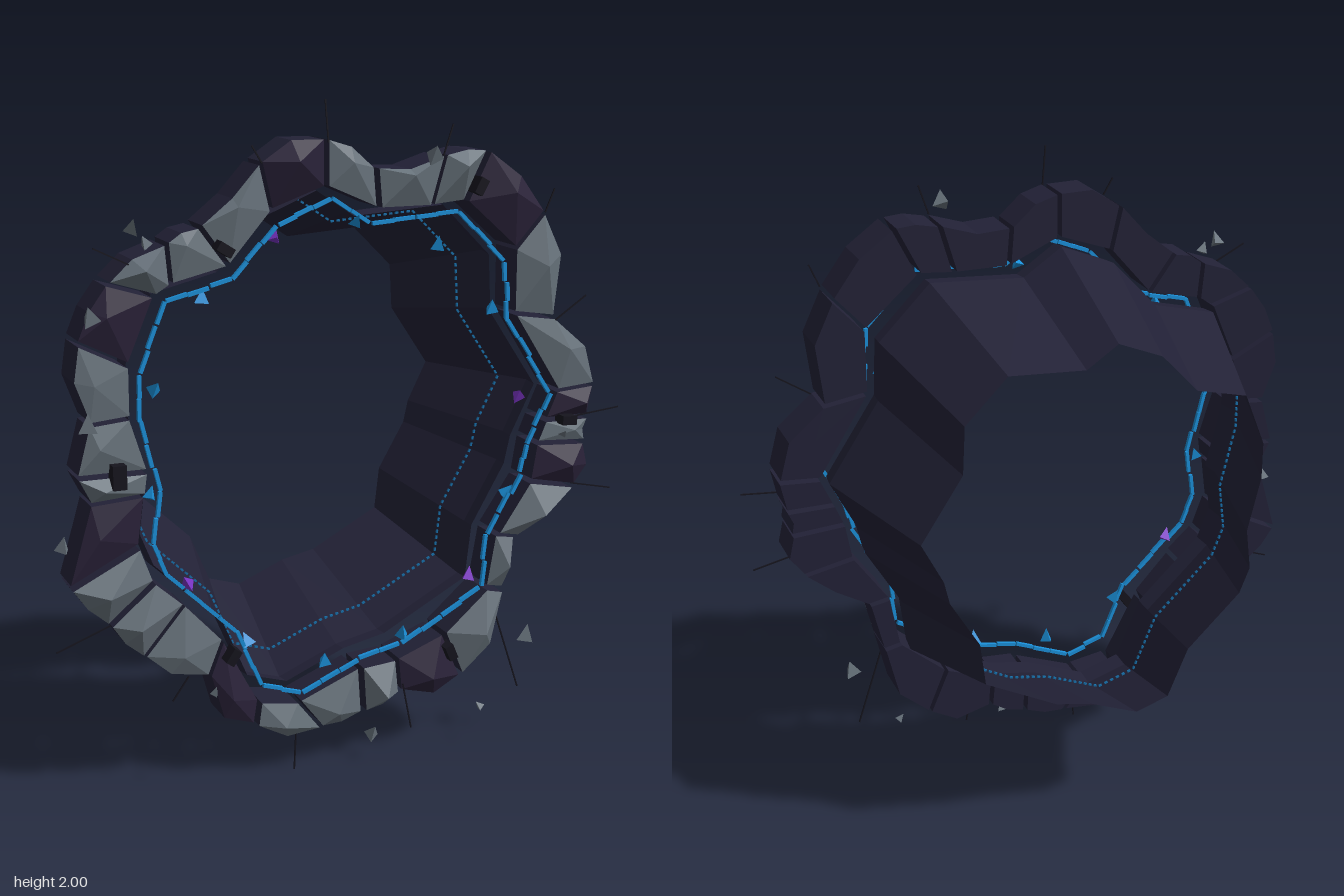
import * as THREE from 'three';
import { mergeGeometries } from 'three/addons/utils/BufferGeometryUtils.js';

const mat = (name, color) => {
  const m = new THREE.MeshStandardMaterial({ color, flatShading: true });
  m.name = name;
  return m;
};

// Seeded random numbers
let seed = 7;
const rnd = () => (seed = (seed * 16807) % 2147483647) / 2147483647;

// Plan positions below are in hundredths of a unit
const RIM = [
  [-7, 174], [5, 166], [34, 168], [50, 152], [51, 134], [67, 110], [59, 94], [57, 85],
  [46, 66], [44, 49], [16, 34], [2, 31], [-17, 23], [-30, 27], [-38, 46], [-59, 66],
  [-63, 76], [-61, 92], [-66, 113], [-66, 127], [-58, 147], [-38, 152], [-24, 167],
];
// Joints between stones, clockwise: inner x, y, outer x, y
const JOINTS = [
  [-25, 170, -28, 183], [-8, 176, -8, 189], [8, 169, 7, 180], [25, 169, 29, 183],
  [36, 170, 43, 184], [53, 155, 62, 165], [53, 135, 66, 133], [69, 110, 81, 111],
  [65, 101, 79, 101], [62, 94, 78, 93], [60, 82, 75, 79], [49, 66, 55, 65],
  [46, 49, 51, 48], [31, 36, 37, 22], [15, 30, 16, 20], [3, 29, 4, 15],
  [-17, 21, -10, 12], [-30, 23, -31, 16], [-41, 44, -45, 34], [-53, 57, -65, 43],
  [-62, 65, -75, 54], [-66, 76, -86, 66], [-64, 91, -79, 90], [-63, 98, -83, 98],
  [-68, 114, -79, 113], [-68, 129, -82, 136], [-60, 148, -73, 152], [-55, 151, -56, 162],
  [-38, 155, -46, 166],
];
// Outward bulge of each stone's outer edge
const BULGE = [3, 2, -2, 1, 2, 5, 4, 0, -1, 3, 1, 0, 5, 4, 1, 1, 3, 6, 3, 1, 1, 0, 0, 0, 3, 1, 2, 1, -1];
const DARK = new Set([0, 4, 7, 9, 13, 17, 21, 25]);

const rimPoint = (i, scale, z) => {
  const [x, y] = RIM[i % RIM.length];
  return new THREE.Vector3((x / 100) * scale, 1 + (y / 100 - 1) * scale, z);
};

function facets(tris) {
  const g = new THREE.BufferGeometry().setFromPoints(tris);
  g.computeVertexNormals();
  return g;
}

// Thin bar between two points
function bar(a, b, w, d) {
  const g = new THREE.BoxGeometry(a.distanceTo(b), w, d);
  g.rotateZ(Math.atan2(b.y - a.y, b.x - a.x));
  const c = a.clone().lerp(b, 0.5);
  return g.translate(c.x, c.y, c.z);
}

// Stone block: straight walls and a faceted, raised front
function stone(i) {
  const [ax, ay, bx, by] = JOINTS[i], [cx, cy, dx, dy] = JOINTS[(i + 1) % JOINTS.length];
  const v = (x, y) => new THREE.Vector2(x / 100, y / 100);
  const i0 = v(ax, ay), o0 = v(bx, by), i1 = v(cx, cy), o1 = v(dx, dy);
  const trim = (p, q) => p.clone().lerp(q, 0.008 / p.distanceTo(q));
  const mid = o0.clone().lerp(o1, 0.5);
  const out = mid.clone().sub(new THREE.Vector2(0, 1)).normalize();
  mid.addScaledVector(out, BULGE[i] / 100);
  // counter-clockwise seen from the front
  const ring = [trim(i0, i1), trim(i1, i0), trim(o1, o0), mid, trim(o0, o1)].reverse();
  if (THREE.ShapeUtils.area(ring) < 0) ring.reverse();
  const centre = ring.reduce((s, p) => s.add(p), new THREE.Vector2()).divideScalar(5);
  const edge = 0.24 + 0.02 * rnd();
  const apex = new THREE.Vector3(centre.x + out.x * 0.02, centre.y + out.y * 0.02, edge + 0.01 + 0.045 * rnd());
  const back = new THREE.Vector3(centre.x, centre.y, 0.12);
  const walls = [], front = [];
  ring.forEach((p, k) => {
    const q = ring[(k + 1) % 5];
    const [p0, q0] = [p, q].map((s) => new THREE.Vector3(s.x, s.y, 0.12));
    const [p1, q1] = [p, q].map((s) => new THREE.Vector3(s.x, s.y, edge));
    walls.push(p0, q0, q1, p0, q1, p1, q0, p0, back);
    front.push(p1, q1, apex);
  });
  return [facets(walls), facets(front)];
}

export function createModel() {
  const root = new THREE.Group();
  const M = {
    tunnel: mat('midnight stone', 0x222136),
    grey: mat('slate grey', 0x68737c),
    dark: mat('dark violet stone', 0x2a2239),
    black: mat('soot black', 0x15141d),
    blue: mat('glowing blue', 0x1a8fd8),
    deepBlue: mat('deep blue', 0x176ea8),
    purple: mat('glowing purple', 0x7a34c4),
  };
  M.tunnel.side = THREE.DoubleSide;
  const add = (name, geo, m, parent = root) => {
    const mesh = new THREE.Mesh(geo, m);
    mesh.name = name;
    parent.add(mesh);
    return mesh;
  };

  // Tunnel: short straight collar, then a taper to the back opening
  const wall = [];
  const levels = [[0.99, 0.14], [1, 0.08], [0.8, -0.37]];
  for (let k = 0; k < 2; k++) {
    const [s0, z0] = levels[k], [s1, z1] = levels[k + 1];
    RIM.forEach((_, i) => {
      const a = rimPoint(i, s0, z0), b = rimPoint(i + 1, s0, z0);
      const c = rimPoint(i + 1, s1, z1), d = rimPoint(i, s1, z1);
      wall.push(a, c, b, a, d, c);
    });
  }
  add('tunnelWall', facets(wall), M.tunnel);

  // Ring of stones
  const ring = new THREE.Group();
  ring.name = 'stoneRing';
  root.add(ring);
  JOINTS.forEach((_, i) => {
    const [walls, front] = stone(i);
    add('stoneBody', walls, M.tunnel, ring);
    add('stoneFront', front, DARK.has(i) ? M.dark : M.grey, ring);
  });

  // Glowing rim strip of broken bars, and a dotted line deeper inside
  const strip = [], dots = [];
  RIM.forEach((_, i) => {
    const a = rimPoint(i, 0.98, 0.255), b = rimPoint(i + 1, 0.98, 0.255);
    const n = Math.max(2, Math.round(a.distanceTo(b) / 0.07));
    for (let k = 0; k < n; k++) {
      const g = bar(a.clone().lerp(b, (k + 0.03) / n), a.clone().lerp(b, (k + 0.97) / n), 0.011, 0.012);
      strip.push(g.translate((rnd() - 0.5) * 0.006, (rnd() - 0.5) * 0.006, (rnd() - 0.5) * 0.015));
    }
    const c = rimPoint(i, 0.935, -0.03), d = rimPoint(i + 1, 0.935, -0.03);
    const m = Math.round(c.distanceTo(d) / 0.02);
    for (let k = 0; k < m; k++) {
      dots.push(bar(c.clone().lerp(d, k / m), c.clone().lerp(d, (k + 0.5) / m), 0.006, 0.006));
    }
  });
  add('glowingRim', mergeGeometries(strip), M.blue);
  add('dottedLine', mergeGeometries(dots), M.deepBlue);

  // Hair-thin cracks reaching outwards
  const cracks = [
    [-8, 188, -9, 200], [28, 183, 31, 192], [65, 131, 77, 139], [70, 101, 90, 103],
    [74, 80, 88, 77], [48, 42, 57, 15], [17, 22, 20, 7], [-18, 20, -19, 0],
    [-52, 35, -57, 28], [-75, 54, -91, 48], [-63, 155, -77, 162], [-28, 183, -31, 188],
    [62, 165, 65, 172],
  ];
  add('cracks', mergeGeometries(cracks.map(([x0, y0, x1, y1]) =>
    bar(new THREE.Vector3(x0 / 100, y0 / 100, 0.255), new THREE.Vector3(x1 / 100, y1 / 100, 0.255), 0.004, 0.004))), M.black);

  // Small dark clamps over some joints: x, y, turn
  [[-72, 98, 0], [-40, 160, 1], [39, 174, -0.5], [71, 101, 1.5], [32, 31, 0.4], [-39, 40, -0.6]].forEach(([x, y, r], i) => {
    const s = i ? 0.7 : 1;
    const clamp = add('clamp', new THREE.BoxGeometry(0.04 * s, 0.07 * s, 0.05), M.black);
    clamp.position.set(x / 100, y / 100, 0.265);
    clamp.rotation.z = r;
  });

  // Floating splinters: x, y, z, size, all in hundredths
  const splinters = (name, m, list) => list.forEach(([x, y, z, r]) => {
    const s = add(name, new THREE.ConeGeometry(r / 100, (r / 100) * 1.8, 3), m);
    s.position.set(x / 100, y / 100, z / 100);
    s.rotation.set(rnd() * 0.6, rnd() * 6, (rnd() - 0.5) * 1.6);
  });
  splinters('greySplinter', M.grey, [
    [21, 185, 34.5, 3], [-64, 167, 20, 2.5], [-62, 163, 24, 2], [-80, 145, 31, 3], [-82, 116, 33.5, 3],
    [-88, 80, 26, 2.5], [58, 34, 29, 3], [6, 9, 28, 2.5], [42, 12, 28, 1.5], [55, 172, 21, 2], [-46, 32, 32, 1.5],
    [66, 99, 34, 1.5],
  ]);
  splinters('blueSplinter', M.blue, [
    [1, 166, 25, 2.2], [27, 158, 25, 2.4], [45, 138, 25, 2.4], [52, 80, 25, 2.4], [17, 39, 25, 2.4],
    [-9, 34, 25, 2.4], [-34, 44, 25, 2.4], [-62, 92, 25, 2.2], [-60, 122, 25, 2.4], [-46, 147, 25, 2.4],
  ]);
  splinters('purpleSplinter', M.purple, [
    [-24, 163, 25, 2.2], [55, 110, 25, 2.4], [39, 55, 25, 2.4], [-52, 64, 25, 2.4],
  ]);

  return root;
}
